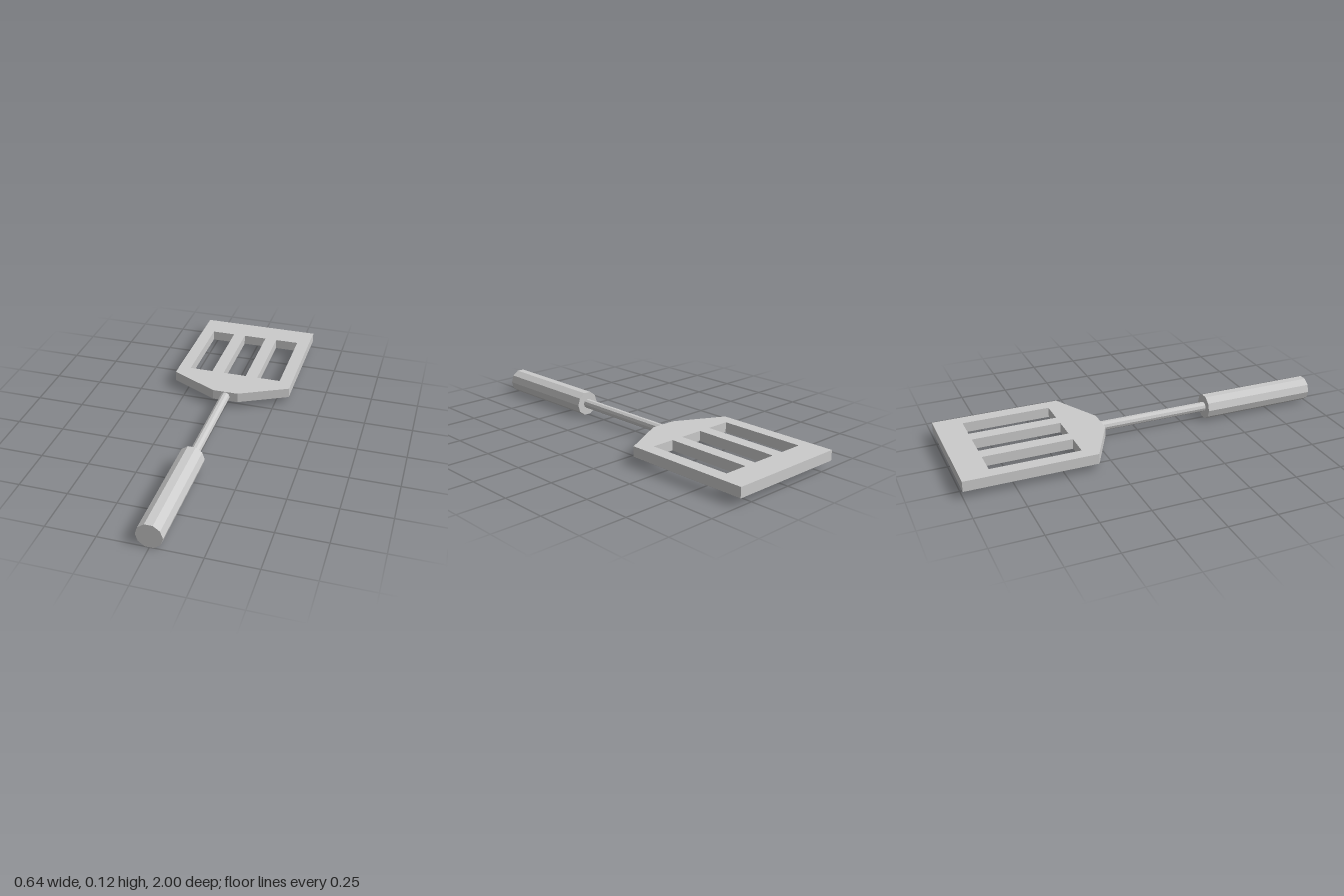
import * as THREE from 'three';

const AXIS_Y = 0.062;
const material = new THREE.MeshStandardMaterial({ color: 0xcccccc, flatShading: true });

// Ten-sided bar along z between two depths
function bar(name, radius, zBack, zFront) {
  const geometry = new THREE.CylinderGeometry(radius, radius, zFront - zBack, 10, 1, false, Math.PI / 2);
  geometry.rotateX(Math.PI / 2);
  const mesh = new THREE.Mesh(geometry, material);
  mesh.name = name;
  mesh.position.set(0, AXIS_Y, (zBack + zFront) / 2);
  return mesh;
}

// Flat slotted blade, drawn with shape y = -z and extruded upwards
function blade() {
  const points = (list) => list.map(([x, y]) => new THREE.Vector2(x, y));
  const shape = new THREE.Shape(points([
    [-0.068, 0.205], [0.068, 0.205], [0.322, 0.335], [0.322, 1], [-0.322, 1], [-0.322, 0.335],
  ]));
  // Three long slots
  for (const x of [-0.193, -0.001, 0.191]) {
    const w = 0.063;
    shape.holes.push(new THREE.Path(points([[x - w, 0.4], [x - w, 0.858], [x + w, 0.858], [x + w, 0.4]])));
  }
  const geometry = new THREE.ExtrudeGeometry(shape, { depth: 0.053, bevelEnabled: false });
  geometry.rotateX(-Math.PI / 2);
  const mesh = new THREE.Mesh(geometry, material);
  mesh.name = 'blade';
  mesh.position.y = 0.037;
  return mesh;
}

export function createModel() {
  const model = new THREE.Group();
  model.name = 'spatula';
  model.add(bar('handle', 0.065, 0.385, 1), bar('shaft', 0.025, -0.21, 0.39), blade());
  return model;
}
